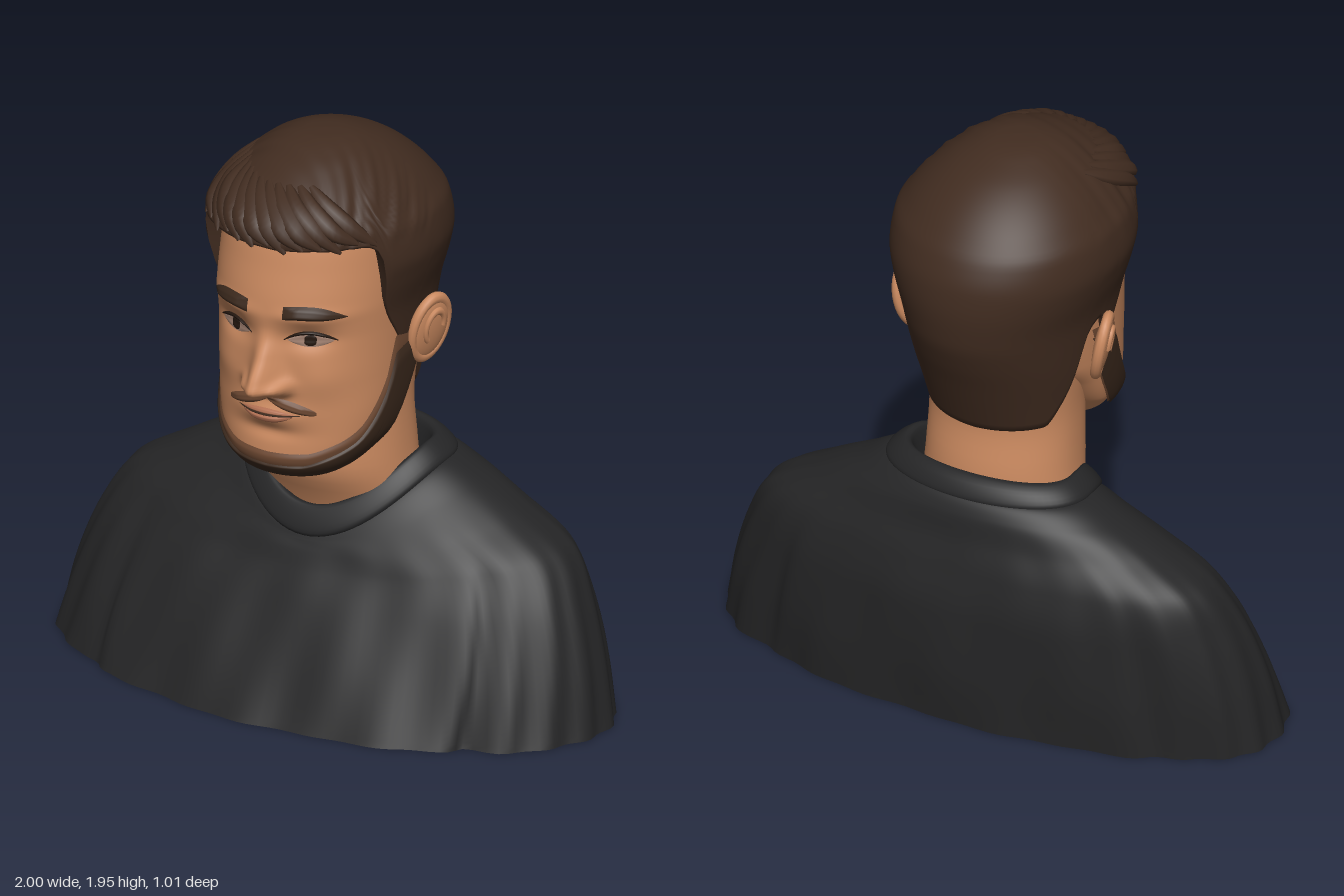
import * as THREE from 'three';

const { sin, cos, abs, exp, min, max, sqrt, sign, PI } = Math;
const mat = (name, color) => Object.assign(new THREE.MeshStandardMaterial({ color }), { name });

// Monotone smooth interpolation of a table whose first column is the key
function interp(T, k) {
  let i = 0;
  while (i < T.length - 2 && k > T[i + 1][0]) i++;
  const h = T[i + 1][0] - T[i][0], s = min(1, max(0, (k - T[i][0]) / h));
  const slope = (j, c) => (T[j + 1][c] - T[j][c]) / (T[j + 1][0] - T[j][0]);
  const tangent = (j, c) => {
    if (j === 0) return slope(0, c);
    if (j === T.length - 1) return slope(j - 1, c);
    const p = slope(j - 1, c), q = slope(j, c);
    return p * q <= 0 ? 0 : 2 * p * q / (p + q);
  };
  return T[i].slice(1).map((v, n) => {
    const c = n + 1, s2 = s * s, s3 = s2 * s;
    return (2 * s3 - 3 * s2 + 1) * v + (s3 - 2 * s2 + s) * h * tangent(i, c)
      + (3 * s2 - 2 * s3) * T[i + 1][c] + (s3 - s2) * h * tangent(i + 1, c);
  });
}

// Surface over u (sideways) and v (upwards); wraps in u when closed
function grid(fn, nu, nv, closed = false) {
  const pos = [], idx = [], w = closed ? nu : nu + 1;
  for (let j = 0; j <= nv; j++) for (let i = 0; i < w; i++) pos.push(...fn(i / nu, j / nv, j));
  for (let j = 0; j < nv; j++) for (let i = 0; i < nu; i++) {
    const a = j * w + i, b = j * w + (i + 1) % w;
    idx.push(a, b, b + w, a, b + w, a + w);
  }
  const g = new THREE.BufferGeometry();
  g.setAttribute('position', new THREE.Float32BufferAttribute(pos, 3));
  g.setIndex(idx);
  g.computeVertexNormals();
  return g;
}

// Point on an oval with separate front and back depths; angle 0 faces front
const oval = (a, [hw, zc, zf, zb], e) => {
  const c = cos(a);
  return [hw * sin(a), zc + (c > 0 ? zf - zc : zb - zc) * abs(c) ** e];
};
const bell = (x, y, cx, cy, sx, sy) => exp(-(((x - cx) / sx) ** 2) - ((y - cy) / sy) ** 2);

// Rows: y, half width, z of widest point, front z, back z
const HEAD = [[.842, 0, .22, .22, .22], [.85, .09, .21, .29, .13], [.875, .17, .18, .345, .09], [.93, .235, .14, .375, .05],
  [1, .28, .08, .372, -.02], [1.1, .298, .04, .375, -.12], [1.2, .305, .01, .38, -.25], [1.35, .31, 0, .385, -.35],
  [1.44, .312, 0, .397, -.38], [1.6, .305, 0, .37, -.38], [1.7, .295, 0, .345, -.37], [1.8, .24, -.02, .26, -.3], [1.9, 0, -.02, -.02, -.02]];
const NECK = [[.5, .27, -.12, .02, -.31], [.66, .272, -.11, .085, -.312], [.82, .26, -.09, .15, -.308],
  [1, .255, -.08, .15, -.285], [1.2, .27, -.08, .1, -.33], [1.35, .285, -.08, .1, -.38]];
const HAIR = [[1, .265, -.05, .3, -.3], [1.1, .282, -.05, .33, -.342], [1.2, .3, -.05, .36, -.385], [1.3, .315, -.04, .38, -.43],
  [1.4, .33, -.03, .39, -.465], [1.53, .368, -.03, .4, -.48], [1.6, .382, -.03, .41, -.475], [1.7, .368, -.04, .425, -.44],
  [1.76, .33, -.04, .41, -.395], [1.82, .28, -.03, .345, -.335], [1.88, .21, -.02, .25, -.25], [1.92, .145, 0, .16, -.16],
  [1.945, .07, 0, .07, -.07], [1.95, 0, 0, 0, 0]];
// Rows: step, half width, widest z, front z, back z, side y, front y, back y
const SHIRT = [[0, 1, -.08, .45, -.5, 0, 0, 0], [1, .955, -.1, .345, -.51, .2, .2, .2], [2, .885, -.13, .25, -.505, .4, .37, .4],
  [3, .8, -.17, .19, -.475, .545, .47, .55], [4, .63, -.18, .165, -.44, .65, .52, .66], [5, .48, -.19, .15, -.42, .73, .545, .74],
  [6, .35, -.18, .135, -.385, .79, .57, .79], [7, .28, -.16, .09, -.32, .78, .6, .8]];
const COLLAR = [[0, .36, -.18, .13, -.39, .775, .545, .775], [1, .362, -.18, .15, -.395, .795, .57, .79], [2, .33, -.175, .13, -.37, .83, .625, .835],
  [3, .302, -.17, .108, -.34, .845, .655, .852], [4, .285, -.165, .09, -.322, .835, .65, .84], [5, .27, -.15, .05, -.3, .74, .56, .75]];
// Hairline and beard edges by angle from the front
const HAIRLINE = [[0, 1.695], [.9, 1.69], [1.02, 1.66], [1.12, 1.47], [1.3, 1.33], [1.42, 1.25], [1.5, 1.27], [1.6, 1.38],
  [1.72, 1.36], [1.85, 1.2], [2, 1.1], [2.25, 1.015], [3.15, 1.005]];
const BEARD_TOP = [[0, .912], [.5, .918], [.8, .945], [1.09, .99], [1.25, 1.06], [1.36, 1.15], [1.44, 1.28], [1.7, 1.3]];
const BEARD_LOW = [[0, .842], [1.3, .843], [1.57, .95], [1.7, 1.1]];
// Nose rows: y, protrusion, width
const NOSE = [[1.14, 0, .05], [1.16, .03, .055], [1.175, .092, .055], [1.2, .122, .055], [1.23, .108, .048],
  [1.3, .055, .04], [1.4, .004, .035], [1.46, 0, .035]];

// Relief of nose, eye sockets, brow, cheeks and lips
function relief(x, y) {
  const m = abs(x), [d, w] = interp(NOSE, y);
  return d * exp(-((x / w) ** 2)) + .035 * bell(m, y, .062, 1.195, .024, .026)
    - .026 * bell(m, y, .135, 1.365, .07, .04) + .012 * bell(m, y, .15, 1.445, .1, .025)
    + .012 * bell(m, y, .18, 1.22, .07, .07) + .022 * bell(x, y, 0, 1.085, .1, .035)
    - .012 * bell(x, y, 0, 1.02, .1, .025);
}
function headPoint(a, y) {
  const [x, z] = oval(a, interp(HEAD, y), .8);
  return [x, y, z + (cos(a) > 0 ? relief(x, y) * min(1, cos(a) * 3) : 0)];
}
function faceZ(x, y) {
  const [hw, zc, zf] = interp(HEAD, y), c = sqrt(max(0, 1 - (x / hw) ** 2));
  return zc + (zf - zc) * c ** .8 + relief(x, y) * min(1, c * 3);
}
// Thin plate hugging the face, bounded by top(s) and low(s) for s in -1..1
const facePlate = (cx, hw, top, low, off) => grid((u, v) => {
  const s = 2 * u - 1, x = cx + hw * s, y = low(s) + (top(s) - low(s)) * v;
  const edge = min(1, 4 * min(u, 1 - u, v, 1 - v));
  return [x, y, faceZ(x, y) + .002 + off * edge];
}, 20, 8);

function hairPoint(a, y, shrink = 1) {
  const r = interp(HAIR, y);
  let [x, z] = oval(a, r, .95);
  const w = min(1, max(0, (y - 1.66) * 12)) * min(1, max(0, (z + .12) * 5));
  const phase = 62 * (.75 * z - .5 * x + .5 * y) + 3 * sin(6 * x);
  const k = shrink * (1 + w * (.014 * sin(phase) + .01 * sin(2.3 * phase + 1)));
  return [x * k, y, r[1] + (z - r[1]) * k];
}

function clothPoint(table, u, t, folds) {
  const a = 2 * PI * u, r = interp(table, t), c = cos(a), m = abs(a > PI ? a - 2 * PI : a);
  const fade = folds * min(1, max(0, 1 - t / 5));
  const crease = exp(-(((m - .8 - .03 * t) / .06) ** 2)) + .7 * exp(-(((m - 2.3) / .07) ** 2));
  const k = 1 - fade * (.012 * (1 + sin(11 * a + 1.5 * t)) * abs(c) + .008 * (1 + sin(26 * a - t)) + .04 * crease);
  const [x, z] = oval(a, r, c > 0 ? 1 : .85);
  return [x * k, r[4] + (c > 0 ? r[5] - r[4] : r[6] - r[4]) * c * c, r[1] + (z - r[1]) * k];
}

// Tapered lock of hair along a path
function lockGeometry(points) {
  const curve = new THREE.CatmullRomCurve3(points.map(p => new THREE.Vector3(...p)));
  return grid((u, v) => {
    const p = curve.getPoint(v), T = curve.getTangent(v);
    const N = p.clone().sub(new THREE.Vector3(0, 1.5, 0)).normalize();
    const B = T.clone().cross(N).normalize(), r = .034 * sin(PI * (.06 + .92 * v)) ** .7;
    return p.addScaledVector(N, .6 * r * cos(2 * PI * u)).addScaledVector(B, r * sin(2 * PI * u)).toArray();
  }, 8, 14, true);
}

export function createModel() {
  const model = new THREE.Group();
  const skin = mat('skin', 0xcb8a60), hair = mat('hair brown', 0x412c20), cloth = mat('black cloth', 0x252526);
  const beard = mat('beard brown', 0x3a281c), stubble = mat('stubble brown', 0x6a4630), lip = mat('lip', 0xb06f52);
  const eyeWhite = mat('eye white', 0xa08070), dark = mat('eye dark', 0x24170f);
  const add = (name, geometry, material, parent = model) => {
    const mesh = new THREE.Mesh(geometry, material);
    mesh.name = name;
    parent.add(mesh);
    return mesh;
  };

  // Shirt, flat base and collar
  add('shirt', grid((u, v) => clothPoint(SHIRT, u, 7 * v, 1), 160, 70, true), cloth);
  add('shirtBase', grid((u, v) => {
    const [x, , z] = clothPoint(SHIRT, u, 0, 1);
    return [x * v, 0, -.08 + (z + .08) * v];
  }, 160, 2, true), cloth);
  add('collar', grid((u, v) => clothPoint(COLLAR, u, 5 * v, 0), 80, 20, true), cloth);

  // Neck and head
  add('neck', grid((u, v) => {
    const y = .5 + .85 * v, [x, z] = oval(2 * PI * u, interp(NECK, y), .9);
    return [x, y, z];
  }, 64, 24, true), skin);
  add('head', grid((u, v) => headPoint(2 * PI * u, .842 + 1.058 * v), 160, 132, true), skin);

  // Beard with a lighter upper border
  const jawPatch = (off, rise) => grid((u, v) => {
    const a = 1.7 * (2 * u - 1), m = abs(a);
    const low = interp(BEARD_LOW, m)[0], y = low + (interp(BEARD_TOP, m)[0] + rise - low) * v;
    const [x, , z] = headPoint(a, y), o = off * min(1, (1 - v) * 7) - .002;
    return [x + o * sin(a), y - .006 * (1 - v), z + o * cos(a)];
  }, 90, 24);
  add('beard', jawPatch(.018, 0), beard);
  add('beardBorder', jawPatch(.009, .04), stubble);

  // Hair cap with a turned-in rim
  add('hair', grid((u, v, j) => {
    const a = 2 * PI * u, low = interp(HAIRLINE, min(a, 2 * PI - a))[0];
    if (j === 0) return hairPoint(a, low + .01, .8);
    return hairPoint(a, low + (1.95 - low) * sin((v - 1 / 60) / (1 - 1 / 60) * PI / 2));
  }, 180, 60, true), hair);

  // Swept fringe locks
  const fringe = new THREE.Group();
  fringe.name = 'fringe';
  model.add(fringe);
  for (let i = 0; i < 13; i++) {
    const a = -.95 + i * .155, dip = .012 * sin(i * 2.4);
    add('fringeLock', lockGeometry([hairPoint(a - .5, 1.86, .98), hairPoint(a - .28, 1.81, 1),
      hairPoint(a - .08, 1.755, 1.01), hairPoint(a + .1, 1.695 + dip, 1.01)]), hair, fringe);
  }

  for (const s of [-1, 1]) {
    // Eye: white, iris, upper lid line
    const cx = .137 * s, almond = q => 1 - q * q;
    add('eyeWhite', facePlate(cx, .068, q => 1.358 + .026 * almond(q), q => 1.358 - .022 * almond(q), .006), eyeWhite);
    add('iris', facePlate(cx, .027, q => 1.358 + .024 * sqrt(almond(q)), q => 1.358 - .021 * sqrt(almond(q)), .009), dark);
    add('eyelid', facePlate(cx, .078, q => 1.36 + .034 * almond(q), q => 1.357 + .021 * almond(q), .012), dark);
    // Eyebrow, thicker towards the nose
    const arch = q => 1.452 + .012 * almond(q) - .008 * q * s;
    add('eyebrow', facePlate(.155 * s, .09, q => arch(q) + .022 * (1 - max(0, q * s) ** 2), q => arch(q) - .022 * (1 - max(0, q * s) ** 2), .013), beard);
    // Moustache half and nostril
    const mid = q => 1.122 - .022 * q * s;
    add('moustache', facePlate(.08 * s, .078, q => mid(q) + .02 * sqrt(1 - q * q * .9), q => mid(q) - .016 * sqrt(1 - q * q * .9), .01), stubble);
    // Ear: shell, outer rim, inner fold
    const ear = new THREE.Group();
    ear.name = s > 0 ? 'leftEar' : 'rightEar';
    ear.position.set(.345 * s, 1.29, -.07);
    ear.rotation.set(-.12, -.3 * s, -.22 * s);
    model.add(ear);
    add('earShell', new THREE.SphereGeometry(1, 24, 16).scale(.026, .118, .078), skin, ear);
    add('earRim', new THREE.TorusGeometry(1, .2, 10, 36).rotateY(PI / 2).scale(.09, .108, .072), skin, ear);
    const fold = add('earFold', new THREE.TorusGeometry(.04, .01, 8, 24, 4.2).rotateY(PI / 2).scale(1, 1.4, .9), skin, ear);
    fold.position.set(.022 * s, .015, 0);
  }

  // Mouth
  add('upperLip', facePlate(0, .1, q => 1.094 + .016 * (1 - q * q), () => 1.092, .006), lip);
  add('mouthLine', facePlate(0, .112, q => 1.096 - .002 * q * q, q => 1.088 + .004 * q * q, .009), beard);
  add('lowerLip', facePlate(0, .095, () => 1.09, q => 1.09 - .03 * (1 - q * q), .009), lip);
  return model;
}
